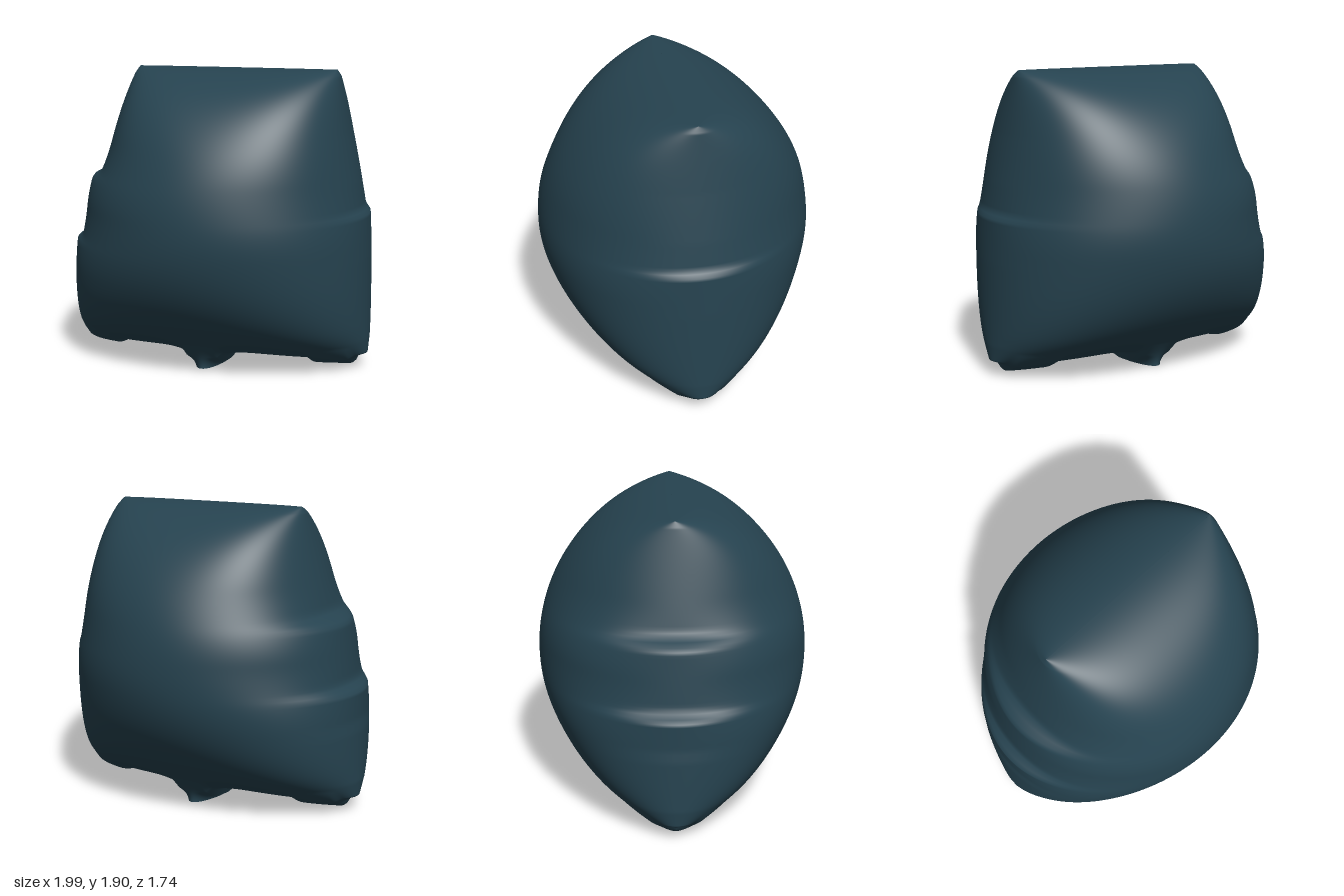
import * as THREE from 'three';
import { mergeVertices } from 'three/addons/utils/BufferGeometryUtils.js';

const { lerp, smoothstep } = THREE.MathUtils;

// Silhouette edges as [height, x]
const LEFT_EDGE = [[0.055, -0.92], [0.08, -0.94], [0.1, -0.99], [0.2, -1], [0.52, -0.99], [0.6, -0.98], [0.78, -0.98],
  [0.81, -0.92], [0.84, -0.905], [1.18, -0.865], [1.2, -0.85], [1.24, -0.765], [1.27, -0.745], [1.86, -0.59], [1.9, -0.57]];
const RIGHT_EDGE = [[0.055, 0.92], [0.08, 0.94], [0.1, 0.99], [0.2, 0.995], [0.72, 0.985], [1, 0.975], [1.03, 0.94],
  [1.2, 0.91], [1.5, 0.85], [1.86, 0.785], [1.9, 0.765]];

const BOTTOM = 0.055, TOP = 1.9, MIDDLE = 0.92, DEPTH = 0.87;
const ROWS = 140, COLS = 400;

function edgeAt(edge, y) {
  for (let i = 1; i < edge.length; i++) {
    const [y0, x0] = edge[i - 1], [y1, x1] = edge[i];
    if (y <= y1) return lerp(x0, x1, Math.max(0, (y - y0) / (y1 - y0)));
  }
  return edge[edge.length - 1][1];
}

// Edge with its steps evened out, followed by the swollen faces
function smoothEdgeAt(edge, y) {
  let sum = 0;
  for (let k = -10; k <= 10; k++) sum += edgeAt(edge, y + k * 0.02) * (11 - Math.abs(k));
  return sum / 121;
}

// Squared thickness added by the spout under the body
function spoutSquared(x, h) {
  const rim = Math.max(0, 1 - (x / 0.108) ** 2);
  const soft = Math.exp(-((x / (0.11 + h)) ** 2));
  return 0.16 * Math.exp(-h / 0.085) * lerp(rim, soft, Math.min(1, h / 0.05));
}

// How far the lower rim hangs down at the spout and the two side feet
function rimDrop(x) {
  const a = Math.abs(x);
  return 0.055 * (1 - smoothstep(a, 0.1, 0.135)) + 0.035 * smoothstep(a, 0.65, 0.69) * (1 - smoothstep(a, 0.89, 0.94));
}

// Stack of rings: smooth swollen faces meeting along the stepped seam
function createBodyGeometry() {
  const positions = [], index = [];
  for (let i = 0; i <= ROWS; i++) {
    const y = BOTTOM + (TOP - BOTTOM) * (1 - Math.cos(Math.PI * i / ROWS)) / 2;
    const left = smoothEdgeAt(LEFT_EDGE, y), right = smoothEdgeAt(RIGHT_EDGE, y);
    const leftStep = edgeAt(LEFT_EDGE, y) - left, rightStep = edgeAt(RIGHT_EDGE, y) - right;
    const t = (y - MIDDLE) / (y > MIDDLE ? TOP - MIDDLE : MIDDLE - BOTTOM);
    const depth = DEPTH * Math.sqrt(Math.max(0, 1 - t * t));
    const h = y - BOTTOM, hang = Math.max(0, 1 - h / 0.12);
    for (let j = 0; j < COLS; j++) {
      const angle = 2 * Math.PI * j / COLS;
      const c = Math.cos(angle), s = j % (COLS / 2) === 0 ? 0 : Math.sin(angle);
      const x = (left + right) / 2 - (right - left) / 2 * c + (c > 0 ? leftStep : rightStep) * c ** 10;
      // Corners are a little fuller than a plain ellipse
      const body = depth * s * Math.sqrt(1 + 0.9 * c * c * t * t);
      const z = s === 0 ? 0 : Math.sign(s) * Math.sqrt(body * body + spoutSquared(x, h));
      positions.push(x, y - rimDrop(x) * hang, z);
      if (i < ROWS) {
        const a = i * COLS + j, b = i * COLS + (j + 1) % COLS;
        index.push(a, b, a + COLS, b, b + COLS, a + COLS);
      }
    }
  }
  let geometry = new THREE.BufferGeometry();
  geometry.setAttribute('position', new THREE.Float32BufferAttribute(positions, 3));
  geometry.setIndex(index);
  geometry = mergeVertices(geometry, 1e-5);
  geometry.computeVertexNormals();
  return geometry;
}

export function createModel() {
  const slate = new THREE.MeshStandardMaterial({ color: 0x264350 });
  slate.name = 'slate teal';
  slate.side = THREE.DoubleSide; // the spout is open below

  const body = new THREE.Mesh(createBodyGeometry(), slate);
  body.name = 'inflatedBody';

  const model = new THREE.Group();
  model.name = 'inflatedForm';
  model.add(body);
  return model;
}
